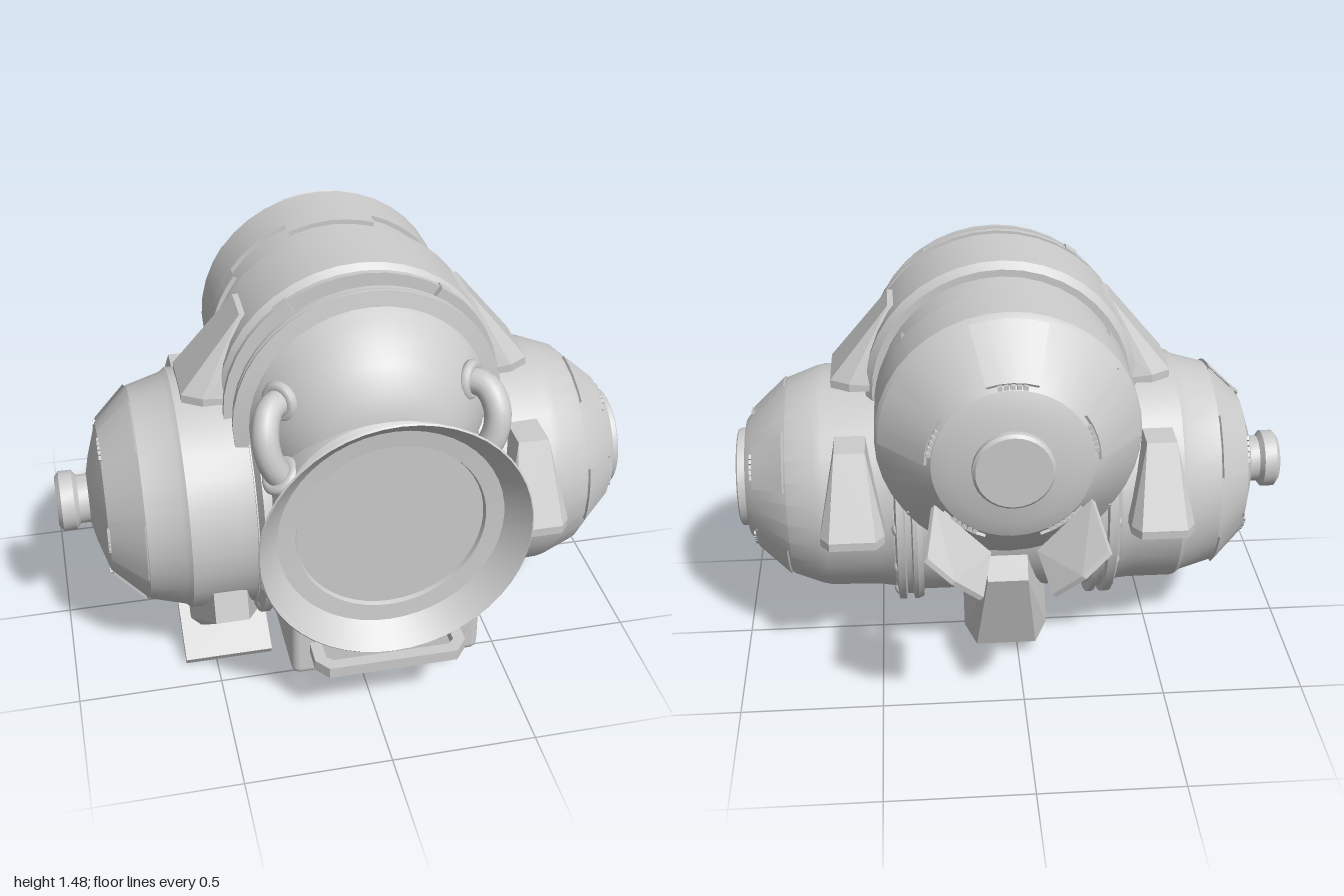
import * as THREE from 'three';
import { toCreasedNormals } from 'three/addons/utils/BufferGeometryUtils.js';
import { RoundedBoxGeometry } from 'three/addons/geometries/RoundedBoxGeometry.js';
import { ConvexGeometry } from 'three/addons/geometries/ConvexGeometry.js';

const CX = 0.045; // middle of the main drum in x
const V = (x, y, z) => new THREE.Vector3(x, y, z);

export function createModel() {
  const model = new THREE.Group();
  model.name = 'vessel';
  const grey = new THREE.MeshStandardMaterial({ color: 0xcccccc, side: THREE.DoubleSide });
  grey.name = 'light grey metal';

  const add = (name, geo, parent = model, x = 0, y = 0, z = 0) => {
    const m = new THREE.Mesh(geo, grey);
    m.name = name;
    m.position.set(x, y, z);
    parent.add(m);
    return m;
  };
  const group = (name, x, y, z) => {
    const g = new THREE.Group();
    g.name = name;
    g.position.set(x, y, z);
    model.add(g);
    return g;
  };
  // Profiles are [position along axis, radius], in ascending order along y
  const lathe = (profile, start = 0, len = Math.PI * 2, seg = 30) =>
    toCreasedNormals(new THREE.LatheGeometry(
      profile.map(([a, r]) => new THREE.Vector2(r, a)), seg, start, len), 0.42);
  // Raised plate following a slope between two profile points
  const plate = (a0, r0, a1, r1, mid, half, lift = 0.009) => {
    const n = new THREE.Vector2(a1 - a0, r0 - r1).normalize().multiplyScalar(lift);
    const da = n.y, dr = n.x;
    return lathe([[a0, r0 - 0.005], [a0 + da, r0 + dr], [a1 + da, r1 + dr], [a1, r1 - 0.005]],
      mid - half, half * 2, 4);
  };
  // Five plates with small bolt rows around a tapered end
  const endPlates = (g, a0, r0, a1, r1, offset, s) => {
    for (let i = 0; i < 5; i++) {
      const mid = offset + i * Math.PI * 0.4;
      add('endPlate', s > 0 ? plate(a0, r0, a1, r1, mid, 0.3) : plate(a1, r1, a0, r0, mid, 0.3), g);
      for (let k = -2; k <= 2; k++) {
        const t = mid + k * 0.075, r = r1 - 0.006;
        const b = add('plateBolt', new THREE.BoxGeometry(0.015, 0.02, 0.015), g,
          Math.sin(t) * r, a1 + s * 0.005, Math.cos(t) * r);
        b.rotation.y = t;
      }
    }
  };

  // Main drum along z: tapered back, collar, flanges and front dome
  const drum = group('mainDrum', CX, 1.0, 0);
  drum.rotation.x = Math.PI / 2;
  add('drumBody', lathe([[-0.605, 0], [-0.605, 0.2], [-0.58, 0.265], [-0.4, 0.435], [-0.38, 0.446], [-0.2, 0.446],
    [-0.2, 0.43], [-0.04, 0.43], [-0.04, 0.455], [-0.015, 0.478], [0.25, 0.478], [0.275, 0.455],
    [0.275, 0.42], [0.36, 0.42]], 0, Math.PI * 2, 40), drum);
  add('strap', lathe([[0.295, 0.41], [0.295, 0.472], [0.315, 0.472], [0.315, 0.41]], 0, Math.PI * 2, 40), drum);
  add('frontFlange', lathe([[0.35, 0.41], [0.36, 0.45], [0.375, 0.45], [0.378, 0.435], [0.39, 0.435],
    [0.393, 0.455], [0.405, 0.455], [0.415, 0.4]], 0, Math.PI * 2, 40), drum);
  add('frontDome', lathe([[0.4, 0.41], [0.46, 0.38], [0.52, 0.34], [0.58, 0.285], [0.63, 0.22],
    [0.655, 0.14], [0.665, 0]], 0, Math.PI * 2, 40), drum);
  add('rearCap', lathe([[-0.635, 0], [-0.635, 0.125], [-0.625, 0.135], [-0.6, 0.135]]), drum);
  endPlates(drum, -0.405, 0.43, -0.565, 0.28, Math.PI, -1);
  for (let i = 0; i < 5; i++) {
    add('seamPlate', lathe([[-0.22, 0.446], [-0.14, 0.446], [-0.14, 0.42]],
      i * Math.PI * 0.4 + 0.3, 0.7, 6), drum);
  }
  // Strap clips
  for (const a of [-0.62, 0.62]) {
    const c = add('strapClip', new THREE.BoxGeometry(0.05, 0.045, 0.05), drum,
      Math.sin(a) * 0.45, 0.315, -Math.cos(a) * 0.45);
    c.rotation.y = -a;
  }

  // Cross drum along x with a different pod on each end
  const cross = group('crossDrum', 0, 0.6, 0.13);
  cross.rotation.z = -Math.PI / 2;
  add('crossBody', lathe([[-0.36, 0.44], [0.44, 0.44]]), cross);
  add('leftPod', lathe([[0.34, 0.43], [0.34, 0.465], [0.36, 0.475], [0.375, 0.475], [0.38, 0.455], [0.4, 0.455],
    [0.405, 0.475], [0.43, 0.475], [0.44, 0.425], [0.5, 0.415], [0.68, 0.41], [0.71, 0.403], [0.81, 0.365],
    [0.945, 0.24], [0.965, 0.215], [0.965, 0.18], [0.995, 0.18], [1.0, 0.174], [1.0, 0.135],
    [0.985, 0.125], [0.9, 0.06], [0.87, 0]]), cross);
  endPlates(cross, 0.815, 0.36, 0.93, 0.254, 0, 1);
  add('rightPod', lathe([[-1.0, 0], [-1.0, 0.085], [-0.985, 0.105], [-0.94, 0.105], [-0.925, 0.085], [-0.89, 0.085],
    [-0.875, 0.15], [-0.84, 0.26], [-0.72, 0.376], [-0.6, 0.41], [-0.58, 0.425], [-0.42, 0.425], [-0.36, 0.43],
    [-0.34, 0.475], [-0.31, 0.475], [-0.305, 0.455], [-0.285, 0.455], [-0.28, 0.475], [-0.26, 0.475],
    [-0.26, 0.43]]), cross);
  endPlates(cross, -0.72, 0.376, -0.83, 0.27, 0, -1);
  // Flange bolts around the lower half
  const bolts = group('flangeBolts', 0, 0.6, 0.13);
  for (const x of [0.43, -0.34]) {
    for (let i = -4; i <= 4; i++) {
      const a = -Math.PI / 2 + i * 0.4;
      const b = add('flangeBolt', new THREE.SphereGeometry(0.025, 10, 8), bolts,
        x, Math.sin(a) * 0.44, Math.cos(a) * 0.44);
      b.scale.x = 0.7;
    }
  }

  // Tapered bracket: x is width, y is length, z points outwards
  const bracket = (w, h, d, tip) => {
    const pts = [];
    for (const s of [-1, 1]) {
      pts.push(V(s * w / 2, 0, -0.15), V(s * w / 2, 0, d * 0.68), V(s * w * 0.36, 0, d),
        V(s * w * 0.36, h * 0.1, d), V(s * w / 2, h * 0.1, d * 0.68),
        V(s * w * 0.24, h, tip), V(s * w * 0.24, h, -0.15));
    }
    return new ConvexGeometry(pts);
  };
  for (const s of [-1, 1]) {
    const m = add('shoulderBracket', bracket(0.3, 0.29, 0.21, 0.0), model, CX + s * 0.39, 1.01, 0.12);
    m.rotation.y = s * Math.PI / 2;
  }
  // Pod brackets: [x, angle around the cross drum, direction, width, depth]
  for (const [x, a, dir, w, d] of [[0.58, 0, 1, 0.22, 0.12], [0.58, Math.PI, -1, 0.22, 0.13],
    [-0.49, Math.PI, -1, 0.22, 0.13], [-0.455, -1.26, 1, 0.24, 0.1], [CX, -2.1, -1, 0.3, 0.23]]) {
    const g = group('podBracket', x, 0.6, 0.13);
    g.rotation.x = -a;
    const m = add('bracketBody', bracket(w, 0.3, d, -0.01), g, 0, 0, 0.42);
    m.scale.y = dir;
  }
  // Tilted foot plate under the right pod
  const foot = add('footPlate', new THREE.BoxGeometry(0.31, 0.035, 0.23), model, -0.455, 0.076, 0.295);
  foot.rotation.x = 0.55;

  // Front housing with the flared round port
  add('frontHousing', new RoundedBoxGeometry(0.66, 0.68, 0.5, 3, 0.03), model, CX + 0.01, 0.48, 0.43);
  const port = group('frontPort', CX, 0.77, 0);
  port.rotation.x = Math.PI / 2;
  add('flaredPort', lathe([[0.35, 0.35], [0.63, 0.36], [0.655, 0.355], [0.67, 0.33], [0.73, 0.33], [0.73, 0.372],
    [0.82, 0.45], [0.825, 0.445], [0.745, 0.375], [0.74, 0.315], [0.725, 0.31], [0.725, 0]],
  0, Math.PI * 2, 48), port);

  // Flat grab handle on the housing
  const bar = new THREE.Shape([[-0.26, 0], [-0.26, 0.1], [-0.22, 0.15], [0.22, 0.15], [0.26, 0.1], [0.26, 0]]
    .map(p => new THREE.Vector2(...p)));
  bar.holes.push(new THREE.Path([[-0.22, 0.01], [0.22, 0.01], [0.22, 0.09], [0.2, 0.11], [-0.2, 0.11], [-0.22, 0.09]]
    .map(p => new THREE.Vector2(...p))));
  const handle = add('grabHandle', new THREE.ExtrudeGeometry(bar, { depth: 0.04, bevelEnabled: false }),
    model, CX, 0.28, 0.67);
  handle.rotation.x = Math.PI / 2;

  // Thin rail below the housing
  const rail = new THREE.CatmullRomCurve3([V(-0.24, 0.17, 0.3), V(-0.24, 0.08, 0.3), V(-0.2, 0.045, 0.3),
    V(0.29, 0.045, 0.3), V(0.33, 0.08, 0.3), V(0.33, 0.17, 0.3)], false, 'catmullrom', 0.1);
  add('lowerRail', new THREE.TubeGeometry(rail, 40, 0.013, 8), model);
  for (const x of [-0.2, 0.29]) add('railClip', new THREE.BoxGeometry(0.025, 0.05, 0.04), model, x, 0.055, 0.3);

  // Curved pipes from dome to housing, and rear flaps, mirrored about the drum
  const pipe = new THREE.CatmullRomCurve3([V(0.22, 1.11, 0.42), V(0.29, 1.14, 0.48), V(0.355, 1.14, 0.54),
    V(0.38, 1.08, 0.595), V(0.365, 0.99, 0.615), V(0.32, 0.92, 0.605), V(0.25, 0.89, 0.57)]);
  const collarRing = new THREE.TorusGeometry(0.05, 0.02, 8, 20);
  const flap = [];
  for (const [x, y, z] of [[0.075, 0.7, -0.62], [0.255, 0.87, -0.59], [0.285, 0.8, -0.8],
    [0.2, 0.73, -0.83], [0.11, 0.64, -0.79]]) {
    flap.push(V(x, y, z), V(x + 0.012, y - 0.012, z));
  }
  const stalk = new THREE.CatmullRomCurve3([V(0.12, 0.58, -0.36), V(0.14, 0.61, -0.44), V(0.15, 0.68, -0.54),
    V(0.16, 0.76, -0.62)]);
  for (const s of [-1, 1]) {
    const side = group('mirroredParts', CX, 0, 0);
    side.scale.x = s;
    add('pipe', new THREE.TubeGeometry(pipe, 28, 0.045, 14), side);
    for (const t of [0.24, 0.8]) {
      const p = pipe.getPointAt(t);
      const ring = add('pipeCollar', collarRing, side, p.x, p.y, p.z);
      ring.quaternion.setFromUnitVectors(V(0, 0, 1), pipe.getTangentAt(t));
    }
    add('rearFlap', new ConvexGeometry(flap), side);
    add('flapStalk', new THREE.TubeGeometry(stalk, 12, 0.018, 6), side);
  }
  return model;
}
